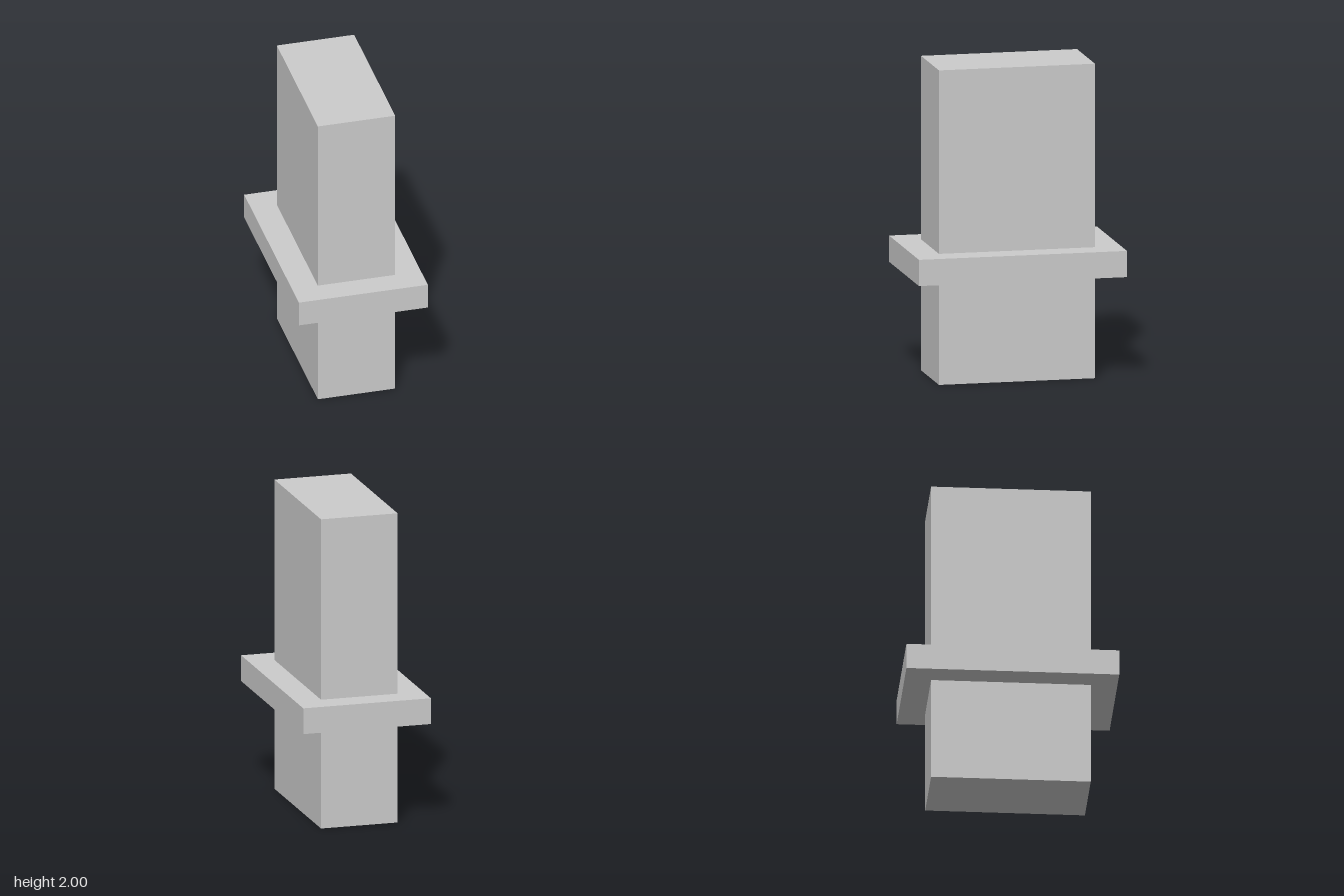
import * as THREE from 'three';

const material = new THREE.MeshStandardMaterial({ color: 0xcccccc, flatShading: true });

// Box centred on x and z, spanning y0 to y1
function block(name, width, depth, y0, y1) {
  const mesh = new THREE.Mesh(new THREE.BoxGeometry(width, y1 - y0, depth), material);
  mesh.name = name;
  mesh.position.y = (y0 + y1) / 2;
  return mesh;
}

export function createModel() {
  const group = new THREE.Group();
  group.name = 'flangedBlock';
  const unit = 1 / 6;
  group.add(
    // Lower shaft, wide collar, upper shaft
    block('lowerShaft', 3 * unit, 6 * unit, 0, 4 * unit),
    block('collar', 5 * unit, 8 * unit, 4 * unit, 5 * unit),
    block('upperShaft', 3 * unit, 6 * unit, 5 * unit, 12 * unit),
  );
  return group;
}
